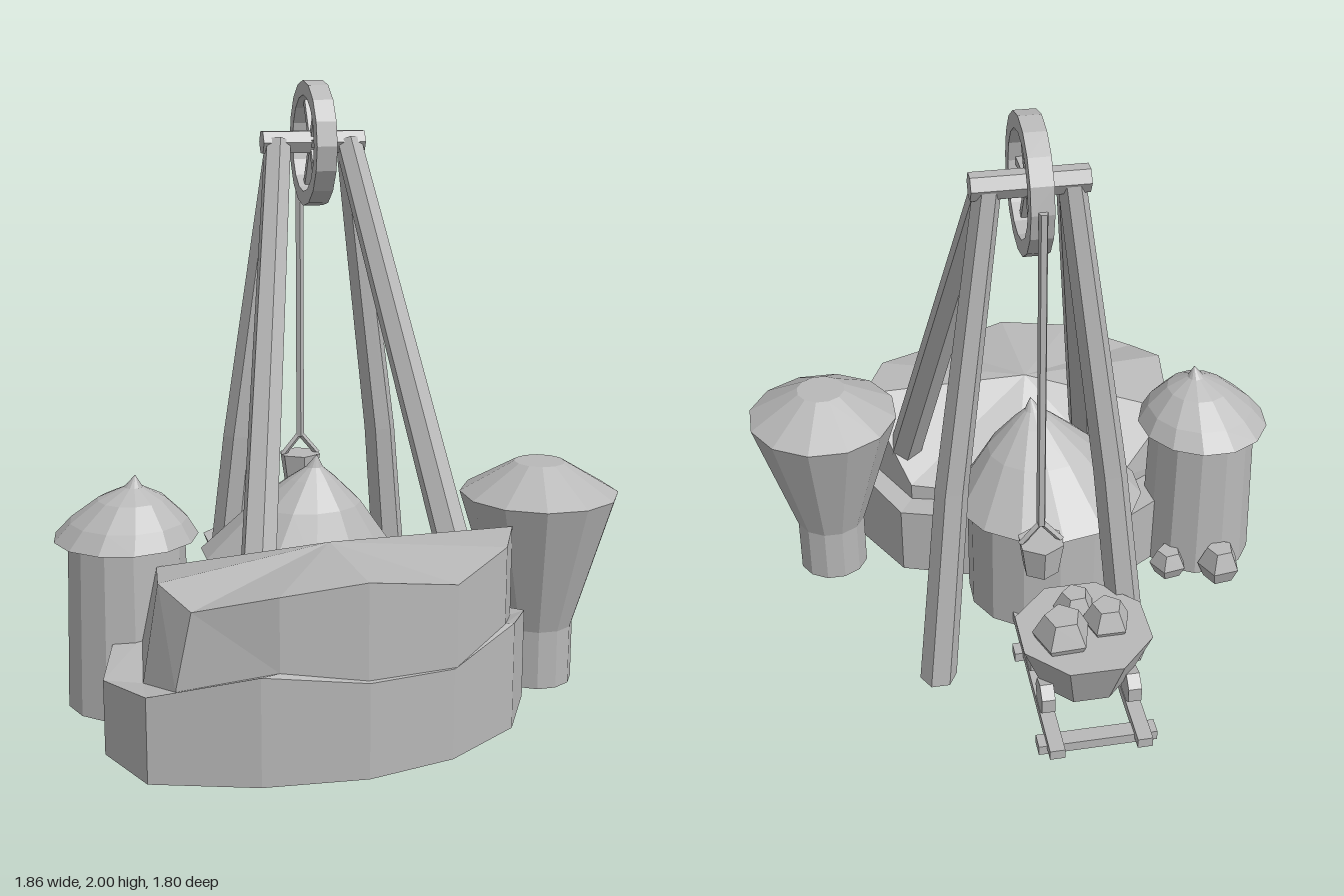
import * as THREE from 'three';

const stone = new THREE.MeshStandardMaterial({ color: 0xb8b8b8, flatShading: true, side: THREE.DoubleSide });
stone.name = 'plain grey';

const V = (x, y, z) => new THREE.Vector3(x, y, z);

export function createModel() {
  const model = new THREE.Group();
  model.name = 'mine';

  function add(name, geometry, x = 0, y = 0, z = 0, parent = model) {
    const mesh = new THREE.Mesh(geometry, stone);
    mesh.name = name;
    mesh.position.set(x, y, z);
    parent.add(mesh);
    return mesh;
  }

  // Joins rings of points from bottom to top, with optional fans to centre points
  function loft(rings, topCentre, bottomCentre) {
    const pos = [];
    const tri = (...pts) => pts.forEach((p) => pos.push(p.x, p.y, p.z));
    const n = rings[0].length;
    for (let i = 0; i < n; i++) {
      const j = (i + 1) % n;
      for (let k = 0; k < rings.length - 1; k++) {
        const a = rings[k], b = rings[k + 1];
        tri(a[i], b[i], b[j]);
        tri(a[i], b[j], a[j]);
      }
      const top = rings[rings.length - 1];
      if (topCentre) tri(topCentre, top[j], top[i]);
      if (bottomCentre) tri(bottomCentre, rings[0][i], rings[0][j]);
    }
    const g = new THREE.BufferGeometry();
    g.setAttribute('position', new THREE.Float32BufferAttribute(pos, 3));
    g.computeVertexNormals();
    return g;
  }

  const lathe = (profile, sides) =>
    new THREE.LatheGeometry(profile.map(([r, y]) => new THREE.Vector2(r, y)), sides);

  // Straight bar between two points
  function bar(name, a, b, rBottom, rTop, sides = 6) {
    const dir = b.clone().sub(a);
    const mid = a.clone().add(b).multiplyScalar(0.5);
    const mesh = add(name, new THREE.CylinderGeometry(rTop, rBottom, dir.length(), sides), mid.x, mid.y, mid.z);
    mesh.quaternion.setFromUnitVectors(V(0, 1, 0), dir.normalize());
  }

  // Two stepped rock terraces (x, z, top height per corner); the upper one slopes down at the back
  const lower = [[0.57, 0.43, 0.3], [0.45, 0.66, 0.35], [0.2, 0.83, 0.29], [-0.08, 0.9, 0.3], [-0.4, 0.88, 0.34],
    [-0.72, 0.78, 0.27], [-0.82, 0.55, 0.24], [-0.74, 0.2, 0.27], [-0.38, -0.02, 0.26], [0.1, 0.05, 0.27], [0.42, 0.16, 0.26]];
  const upper = [[0.51, 0.46, 0.6], [0.42, 0.66, 0.6], [0.21, 0.82, 0.55], [-0.08, 0.88, 0.6], [-0.34, 0.86, 0.57],
    [-0.58, 0.76, 0.51], [-0.655, 0.6, 0.55], [-0.62, 0.3, 0.5], [-0.4, 0.16, 0.31], [0, 0.13, 0.3], [0.37, 0.24, 0.32]];
  const upperBase = upper.map(([x, z], i) => V(x < -0.5 ? x - 0.05 : x, lower[i][2], z));
  add('lowerTerrace', loft([lower.map(([x, z]) => V(x, 0, z)), lower.map(([x, z, y]) => V(x, y, z)), upperBase]));
  add('upperTerrace', loft([upperBase, upper.map(([x, z, y]) => V(x, y, z))], V(-0.1, 0.6, 0.48)));

  // Round huts whose pointed roofs lean a little
  function hut(name, x, z, rBottom, rTop, wall, roof, lean, sides) {
    const hutGroup = new THREE.Group();
    hutGroup.name = name;
    hutGroup.position.set(x, 0, z);
    model.add(hutGroup);
    add('hutWall', new THREE.CylinderGeometry(rTop, rBottom, wall, sides, 1, true), 0, wall / 2, 0, hutGroup);
    const g = lathe(roof, sides);
    const p = g.attributes.position;
    const y0 = roof[0][1], y1 = roof[roof.length - 1][1];
    for (let i = 0; i < p.count; i++) {
      const t = (p.getY(i) - y0) / (y1 - y0);
      p.setX(i, p.getX(i) + lean[0] * t);
      p.setZ(i, p.getZ(i) + lean[1] * t);
    }
    add('hutRoof', g, 0, 0, 0, hutGroup);
    return hutGroup;
  }
  const mainHut = hut('mainHut', -0.09, -0.02, 0.25, 0.25, 0.44,
    [[0.24, 0.44], [0.29, 0.425], [0.16, 0.6], [0.07, 0.69], [0.025, 0.73], [0, 0.775]], [0.04, 0.09], 14);
  mainHut.scale.x = 1.15;
  hut('sideHut', -0.695, 0.135, 0.205, 0.19, 0.57,
    [[0.18, 0.565], [0.235, 0.56], [0.19, 0.62], [0.11, 0.69], [0.03, 0.73], [0, 0.77]], [0.03, 0.035], 13);

  // Flared silo
  add('silo', lathe([[0.125, 0], [0.125, 0.2], [0.265, 0.655], [0.085, 0.76], [0, 0.76]], 12), 0.672, 0, 0.272)
    .rotation.y = Math.PI / 12;

  // Winding tower legs
  const hexRing = (x, y, z, r) => Array.from({ length: 6 }, (_, i) =>
    V(x + r * Math.cos(i * Math.PI / 3), y, z + r * Math.sin(i * Math.PI / 3)));
  const cx = 0.033;
  for (const s of [-1, 1]) {
    bar('frontLeg', V(cx + s * 0.4, 0.03, 0.54), V(cx + s * 0.125, 1.79, -0.31), 0.064, 0.048);
    const path = [[0.335, 0, -0.43, 0.063], [0.262, 0.75, -0.367, 0.056], [0.125, 1.79, -0.315, 0.043]];
    const rings = path.map(([x, y, z, r]) => hexRing(cx + s * x, y, z, r));
    add('backLeg', loft(rings, V(cx + s * 0.125, 1.79, -0.315), V(cx + s * 0.335, 0, -0.43)));
  }

  // Axle, winding wheel and spokes
  bar('axle', V(-0.147, 1.79, -0.315), V(0.213, 1.79, -0.315), 0.043, 0.043);
  const wheel = new THREE.Group();
  wheel.name = 'windingWheel';
  wheel.position.set(cx, 1.785, -0.312);
  model.add(wheel);
  add('wheelRim', lathe([[0.165, -0.035], [0.215, -0.035], [0.215, 0.035], [0.165, 0.035], [0.165, -0.035]], 16), 0, 0, 0, wheel)
    .rotation.z = Math.PI / 2;
  for (let i = 0; i < 3; i++) {
    add('spoke', new THREE.BoxGeometry(0.025, 0.025, 0.35), 0, 0, 0, wheel).rotation.x = i * Math.PI / 3;
  }

  // Rope, handle and bucket
  bar('rope', V(cx, 0.69, -0.532), V(cx, 1.795, -0.532), 0.015, 0.015, 5);
  for (const s of [-1, 1]) bar('bucketHandle', V(cx + s * 0.066, 0.62, -0.532), V(cx, 0.7, -0.532), 0.011, 0.011, 4);
  add('bucket', new THREE.CylinderGeometry(0.078, 0.06, 0.115, 6), cx, 0.5675, -0.532);

  // Track
  for (const x of [-0.245, 0.045]) add('rail', new THREE.BoxGeometry(0.05, 0.035, 0.68), x, 0.04, -0.56);
  for (const z of [-0.825, -0.385]) add('sleeper', new THREE.BoxGeometry(0.395, 0.035, 0.055), -0.1, 0.0175, z);

  // Ore cart
  const cart = new THREE.Group();
  cart.name = 'oreCart';
  cart.position.set(-0.1, 0, -0.595);
  model.add(cart);
  add('cartTub', new THREE.CylinderGeometry(0.232, 0.155, 0.19, 8), 0, 0.195, 0, cart).rotation.y = Math.PI / 8;
  for (const x of [-0.145, 0.145]) {
    for (const z of [-0.1, 0.1]) {
      add('cartWheel', new THREE.CylinderGeometry(0.06, 0.06, 0.045, 7), x, 0.105, z, cart).rotation.z = Math.PI / 2;
    }
  }

  // Faceted ore lumps in the cart and beside the side hut
  const lumps = [[-0.18, 0.25, -0.59, 0.083, 0.12], [-0.02, 0.25, -0.64, 0.1, 0.14], [-0.09, 0.25, -0.5, 0.072, 0.11],
    [-0.73, 0, -0.09, 0.08, 0.13], [-0.55, 0, -0.035, 0.07, 0.1]];
  lumps.forEach(([x, y, z, r, h], i) => {
    add('oreLump', lathe([[0, 0], [r * 0.7, 0], [r, h * 0.45], [r * 0.6, h], [0, h]], 5), x, y, z).rotation.y = i * 1.3;
  });

  return model;
}
